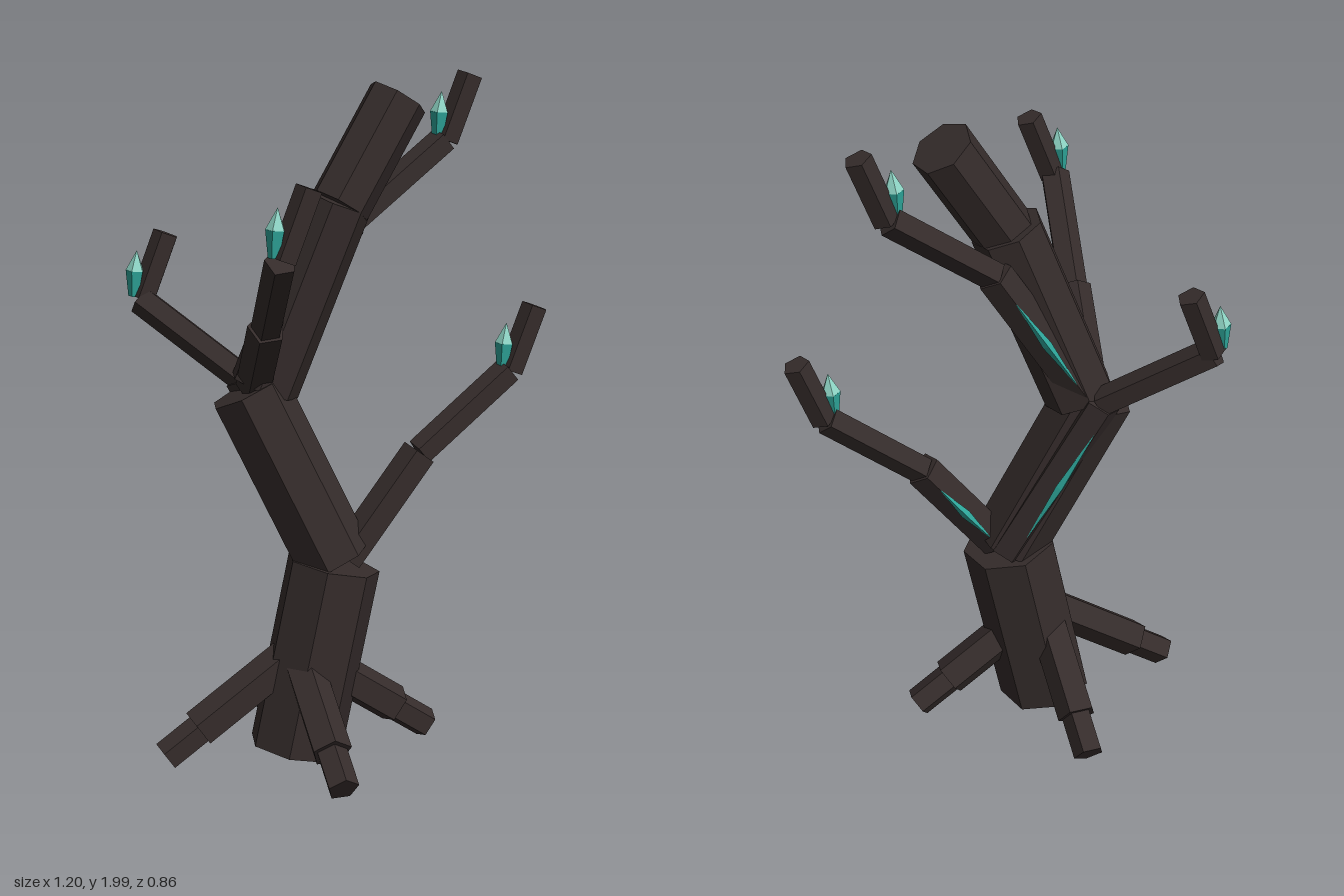
import * as THREE from 'three';

const flat = (name, color) => {
  const m = new THREE.MeshStandardMaterial({ color });
  m.name = name;
  m.flatShading = true;
  return m;
};

export function createModel() {
  const bark = flat('darkBark', 0x352c2b);
  const teal = flat('tealCrystal', 0x2fa89c);
  const pale = flat('paleCrystal', 0x8fd6c6);

  const tree = new THREE.Group();
  tree.name = 'crystalTree';

  // Straight prism between two points, one corner facing the back
  function limb(parent, name, a, b, r0, r1, sides, material) {
    const p = new THREE.Vector3(...a), q = new THREE.Vector3(...b);
    const dir = q.clone().sub(p);
    const geo = new THREE.CylinderGeometry(r1, r0, dir.length(), sides, 1, false, Math.PI);
    const mesh = new THREE.Mesh(geo, material);
    mesh.name = name;
    mesh.position.copy(p).add(q).multiplyScalar(0.5);
    mesh.quaternion.setFromUnitVectors(new THREE.Vector3(0, 1, 0), dir.normalize());
    parent.add(mesh);
    return mesh;
  }

  // Zigzag trunk
  const trunk = [
    [[-0.18, 0.033, 0], [-0.06, 0.588, 0], 0.14],
    [[-0.06, 0.6, 0], [-0.29, 1.11, -0.085], 0.116],
    [[-0.24, 1.115, -0.085], [-0.035, 1.652, -0.035], 0.104],
    [[-0.03, 1.64, -0.025], [0.158, 1.935, -0.06], 0.09],
  ];
  trunk.forEach(([a, b, r], i) => limb(tree, 'trunk' + (i + 1), a, b, r, r, 7, bark));

  // Four roots spreading from the base
  for (const [dx, dz] of [[1, 0], [-1, 0], [0, 1], [0, -1]]) {
    const root = new THREE.Group();
    root.name = 'root';
    const at = (d, y) => [-0.17 + dx * d, y, dz * d];
    limb(root, 'rootBase', at(0, 0.335), at(0.305, 0.125), 0.06, 0.06, 5, bark);
    limb(root, 'rootTip', at(0.29, 0.132), at(0.405, 0.053), 0.047, 0.047, 5, bark);
    tree.add(root);
  }

  // Branches: start, elbow, end, and whether a vein runs along the lower part
  const branches = [
    ['lowerLeftBranch', [-0.02, 0.6, 0], [0.21, 0.9, 0], [0.487, 1.125, 0], true],
    ['upperLeftBranch', [-0.24, 1.13, -0.13], [0.035, 1.565, -0.125], [0.335, 1.792, -0.148], true],
    ['backRightBranch', [-0.03, 0.6, -0.06], [-0.275, 1.125, -0.175], [-0.53, 1.34, -0.36], true],
    ['frontRightBranch', [-0.27, 1.12, -0.08], [-0.3, 1.335, 0.14], [-0.342, 1.57, 0.405], false],
  ];
  for (const [name, a, b, c, veined] of branches) {
    const g = new THREE.Group();
    g.name = name;
    tree.add(g);
    limb(g, 'lowerBranch', a, b, 0.055, 0.055, 5, bark);
    limb(g, 'upperBranch', b, c, 0.045, 0.045, 5, bark);
    const [x, y, z] = c;
    limb(g, 'twig', [x + 0.008, y, z], [x + 0.082, y + 0.19, z], 0.04, 0.04, 5, bark);

    // Crystal beside the twig
    limb(g, 'crystalBody', [x - 0.02, y + 0.01, z], [x - 0.014, y + 0.085, z], 0.016, 0.028, 5, teal);
    limb(g, 'crystalPoint', [x - 0.014, y + 0.085, z], [x - 0.008, y + 0.145, z], 0.028, 0, 5, pale);

    // Glowing vein tapering to both ends along the back edge
    if (veined) {
      const along = (t) => a.map((v, i) => v + (b[i] - v) * t + (i === 2 ? -0.054 : 0));
      limb(g, 'veinLower', along(0.14), along(0.5), 0, 0.014, 4, teal);
      limb(g, 'veinUpper', along(0.5), along(0.86), 0.014, 0, 4, teal);
    }
  }
  return tree;
}
